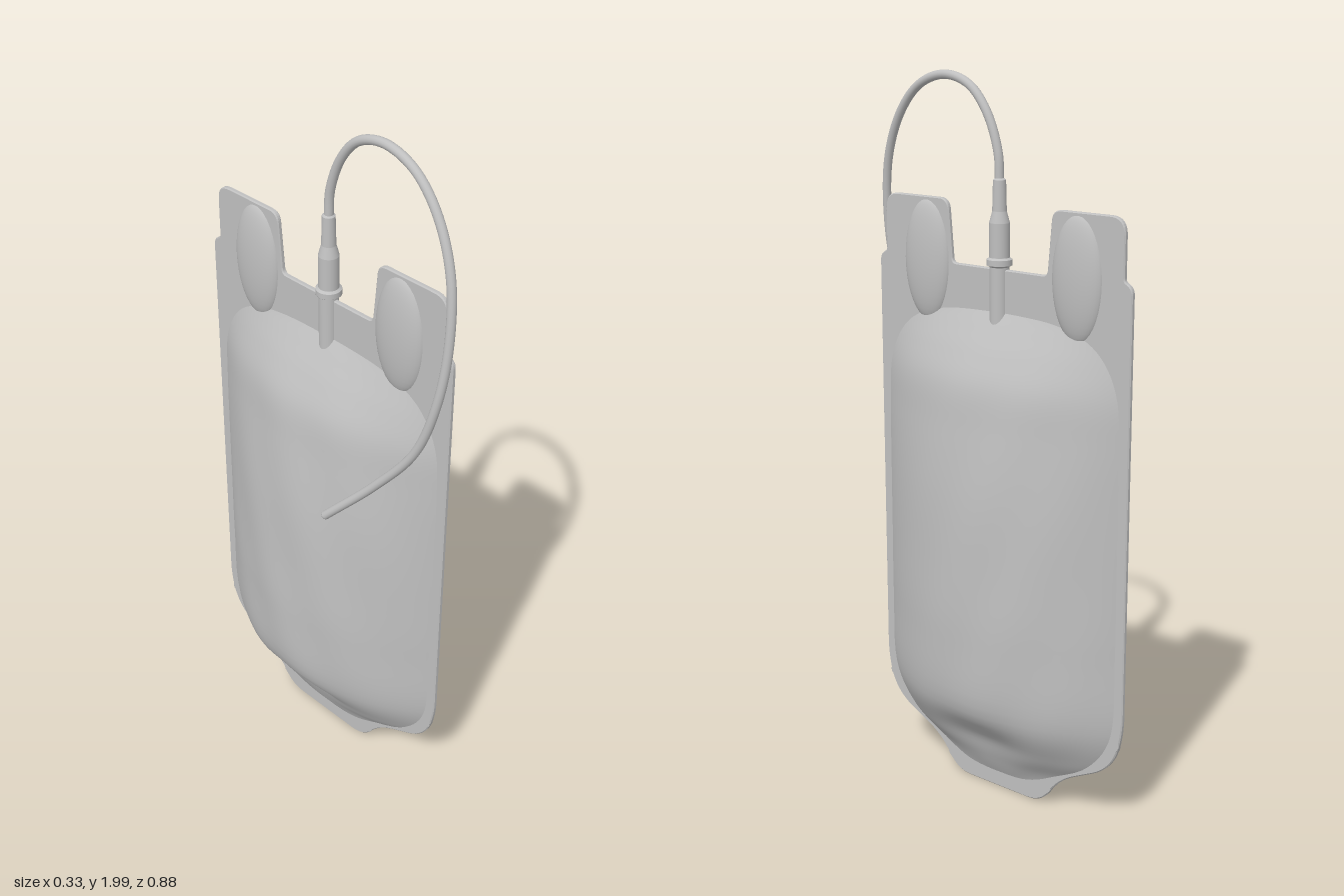
import * as THREE from 'three';

const SHEET_X = -0.005, MID_Z = -0.015;

// Interpolate rows of [y, halfWidth, depth] with a smooth curve
function smoothRows(rows, n) {
  const curve = new THREE.CatmullRomCurve3(rows.map(r => new THREE.Vector3(...r)), false, 'centripetal');
  return curve.getPoints(n);
}

// One bulging half of the pouch: side +1 swells to +x, side -1 to -x
function pouchHalf(rows, side) {
  const nR = 72, nC = 40, pos = [], idx = [];
  smoothRows(rows, nR).forEach(({ x: y, y: w, z: d }) => {
    for (let c = 0; c <= nC; c++) {
      const u = -Math.cos(Math.PI * c / nC);
      const bulge = Math.max(0, d) * Math.pow(1 - u * u, 0.95);
      // gentle film wrinkles, and a sagging crease low on the pouch
      const ripple = 1 + 0.025 * Math.sin(7 * y + 5 * u + side) * Math.sin(6 * u + 4 * y);
      const sag = 0.03 * Math.exp(-(((y - 0.19) / 0.07) ** 2)) * Math.exp(-((u / 0.35) ** 2));
      pos.push(SHEET_X + side * Math.max(0.002, bulge * ripple - sag), y, MID_Z + u * w);
    }
  });
  const s = nC + 1;
  for (let r = 0; r < nR; r++) for (let c = 0; c < nC; c++) {
    const a = r * s + c, b = a + s, d = a + 1, e = b + 1;
    if (side > 0) idx.push(a, b, d, d, b, e);
    else idx.push(a, d, b, d, e, b);
  }
  const g = new THREE.BufferGeometry();
  g.setAttribute('position', new THREE.Float32BufferAttribute(pos, 3));
  g.setIndex(idx);
  g.computeVertexNormals();
  return g;
}

// Closed outline with rounded corners from [z, y, radius] points
function roundedShape(pts) {
  const shape = new THREE.Shape();
  const v = pts.map(p => new THREE.Vector2(-p[0], p[1]));
  pts.forEach((p, i) => {
    const cur = v[i], prev = v[(i + v.length - 1) % v.length], next = v[(i + 1) % v.length];
    const a = cur.clone().add(prev.clone().sub(cur).setLength(p[2]));
    const b = cur.clone().add(next.clone().sub(cur).setLength(p[2]));
    if (i === 0) shape.moveTo(a.x, a.y); else shape.lineTo(a.x, a.y);
    shape.quadraticCurveTo(cur.x, cur.y, b.x, b.y);
  });
  shape.closePath();
  return shape;
}

export function createModel() {
  const model = new THREE.Group();
  const film = new THREE.MeshStandardMaterial({ color: 0xbfbfbf });
  film.name = 'grey film';
  const add = (geometry, name, x = 0, y = 0, z = 0) => {
    const m = new THREE.Mesh(geometry, film);
    m.name = name;
    m.position.set(x, y, z);
    model.add(m);
    return m;
  };

  // Welded seam sheet with two hanging tabs on top and a spout lip below
  const outline = [
    [0.14, 0.01, 0.05], [0.2, 0.1, 0.06], [0.38, 0.19, 0.07], [0.41, 0.3, 0.05],
    [0.41, 1.5, 0.02], [0.385, 1.51, 0.01], [0.385, 1.67, 0.045], [0.16, 1.67, 0.03],
    [0.145, 1.5, 0.015], [-0.175, 1.5, 0.015], [-0.19, 1.67, 0.03], [-0.415, 1.67, 0.045],
    [-0.415, 1.51, 0.01], [-0.44, 1.5, 0.02], [-0.44, 0.3, 0.05], [-0.41, 0.19, 0.07],
    [-0.23, 0.1, 0.06], [-0.17, 0.01, 0.05],
  ];
  const sheet = new THREE.ExtrudeGeometry(roundedShape(outline), {
    depth: 0.008, bevelEnabled: true, bevelThickness: 0.003, bevelSize: 0.003,
    bevelOffset: -0.003, bevelSegments: 1, curveSegments: 8,
  });
  sheet.translate(0, 0, -0.004).rotateY(Math.PI / 2);
  add(sheet, 'seamSheet', SHEET_X);

  // Filled pouch: height, half width, depth
  const rows = [
    [0.05, 0.13, 0.004], [0.1, 0.21, 0.035], [0.17, 0.325, 0.085], [0.28, 0.395, 0.148],
    [0.5, 0.405, 0.163], [0.7, 0.405, 0.158], [0.9, 0.405, 0.147], [1.08, 0.405, 0.125],
    [1.2, 0.4, 0.106], [1.28, 0.375, 0.07], [1.34, 0.33, 0.035], [1.39, 0.24, 0.004],
  ];
  add(pouchHalf(rows, 1), 'pouchLeft');
  add(pouchHalf(rows, -1), 'pouchRight');

  // Padded swellings of the hanging tabs
  for (const z of [0.235, -0.27]) {
    const pad = new THREE.SphereGeometry(1, 32, 20).scale(0.032, 0.165, 0.08);
    add(pad, 'tabPad', SHEET_X, 1.5, z);
  }

  // Port moulded into the seam, with collar and stepped connector
  const profile = [
    [0, 1.3], [0.026, 1.3], [0.026, 1.505], [0.034, 1.51], [0.034, 1.525], [0.027, 1.53],
    [0.027, 1.62], [0.019, 1.65], [0.017, 1.73], [0.011, 1.735], [0, 1.735],
  ];
  // doubled points keep the steps crisp
  const crisp = profile.flatMap(([r, y]) => [new THREE.Vector2(r, y), new THREE.Vector2(r, y + 0.0005)]);
  add(new THREE.LatheGeometry(crisp, 28), 'port', SHEET_X, 0, MID_Z + 0.002);

  // Flexible tube arching over and hanging beside the pouch
  const path = [
    [-0.005, 1.72, -0.013], [-0.005, 1.8, -0.008], [-0.005, 1.9, 0.03], [-0.007, 1.965, 0.09],
    [-0.01, 1.988, 0.175], [-0.015, 1.96, 0.27], [-0.023, 1.88, 0.35], [-0.037, 1.75, 0.41],
    [-0.055, 1.57, 0.43], [-0.075, 1.4, 0.415], [-0.088, 1.25, 0.365], [-0.11, 1.1, 0.255],
    [-0.15, 0.95, 0.12],
  ].map(p => new THREE.Vector3(...p));
  const curve = new THREE.CatmullRomCurve3(path);
  add(new THREE.TubeGeometry(curve, 120, 0.012, 14), 'tube');

  // Rounded end of the tube
  const end = path[path.length - 1];
  add(new THREE.SphereGeometry(0.012, 14, 10), 'tubeEnd', end.x, end.y, end.z);

  return model;
}
